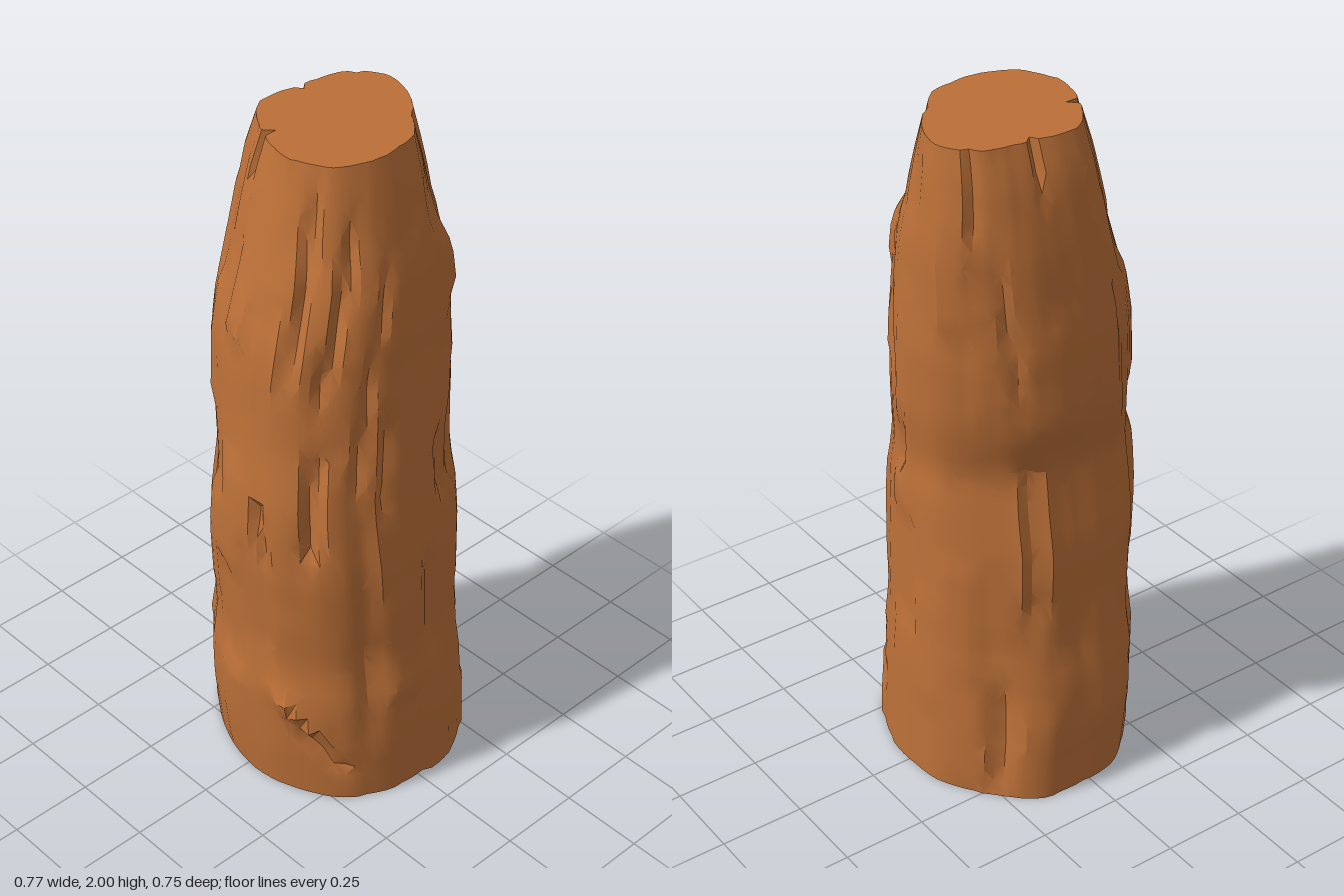
import * as THREE from 'three';
import { toCreasedNormals } from 'three/addons/utils/BufferGeometryUtils.js';

// Silhouette by height: y, xMin, xMax, zBack, zFront
const rows = [
  [0, -0.385, 0.385, -0.37, 0.33], [0.2, -0.39, 0.385, -0.365, 0.352],
  [0.35, -0.375, 0.375, -0.36, 0.36], [0.48, -0.35, 0.35, -0.352, 0.348],
  [0.8, -0.335, 0.352, -0.345, 0.37], [0.92, -0.31, 0.335, -0.342, 0.372],
  [1.03, -0.29, 0.32, -0.33, 0.365], [1.2, -0.333, 0.303, -0.348, 0.337],
  [1.4, -0.335, 0.29, -0.355, 0.325], [1.5, -0.33, 0.295, -0.35, 0.31],
  [1.7, -0.315, 0.27, -0.35, 0.25], [1.8, -0.3, 0.237, -0.338, 0.225],
  [1.9, -0.285, 0.217, -0.33, 0.2], [2, -0.25, 0.19, -0.315, 0.175],
];
// Relative radii every 22.5 degrees, from +x round through +z
const baseRing = [1, 1.03, 1.04, 1.02, 1, 0.96, 0.95, 1, 0.98, 1.03, 1, 1.03, 1, 1.02, 1.03, 1.03];
const topRing = [0.95, 1.08, 1.13, 1.06, 0.94, 0.88, 0.95, 1.02, 0.95, 0.95, 1.1, 1.08, 0.92, 0.8, 0.77, 0.9];

// Cracks and bulges: angle, angular half width, yLow, yHigh, depth (negative bulges), lean
const features = [
  [130, 5, 0.3, 1.22, 0.025, 0], [48, 6, 0.85, 1.22, 0.05, -4], [75, 4, 0.85, 1.05, 0.03, 6],
  [58, 5, 1.35, 1.98, 0.035, -8], [40, 5, 1.3, 1.9, 0.035, -12], [22, 5, 1.0, 1.8, 0.025, -14],
  [25, 5, 0.2, 1.1, 0.025, 0], [60, 10, 0.22, 0.42, -0.03, 20], [50, 8, 0.08, 0.3, 0.025, 25],
  [112, 4, 1.88, 2.1, 0.05, 0], [188, 4, 1.85, 2.1, 0.05, 0], [228, 5, 1.75, 2.1, 0.03, 0],
  [322, 9, 1.5, 1.72, -0.03, 0], [335, 6, 0.9, 1.15, 0.035, 10], [318, 8, 0.9, 1.22, 0.03, 0],
  [300, 6, 1.25, 1.6, 0.025, 12], [310, 7, 0.1, 0.42, 0.035, 10], [350, 6, 0.4, 0.85, 0.02, 0],
  [205, 6, 0.5, 1.15, 0.025, 0], [222, 7, 0.0, 0.4, 0.03, 0], [150, 5, 1.1, 1.6, 0.018, 6],
  [280, 6, 0.95, 1.15, 0.02, 0], [12, 4, 0.95, 1.3, 0.03, 0], [215, 5, 1.3, 1.7, 0.02, 8],
];

const SEG = 80, STEPS = 44;

function hash(i, j) {
  const s = Math.sin(i * 127.1 + j * 311.7) * 43758.5453;
  return s - Math.floor(s);
}

function rowAt(y) {
  let k = 0;
  while (k < rows.length - 2 && rows[k + 1][0] < y) k++;
  const a = rows[k], b = rows[k + 1], t = (y - a[0]) / (b[0] - a[0]);
  return a.map((v, n) => v + (b[n] - v) * t);
}

function ringAt(ring, deg) {
  const f = deg / 22.5, k = Math.floor(f), t = f - k;
  return ring[k % 16] * (1 - t) + ring[(k + 1) % 16] * t;
}

// Sum of all crack depths at one place on the surface
function relief(deg, y) {
  let d = 0;
  for (const [angle, width, low, high, depth, lean] of features) {
    const v = (y - low) / (high - low);
    if (v < 0 || v > 1) continue;
    const off = Math.abs(((deg - angle - lean * (v - 0.5) + 540) % 360) - 180) / width;
    if (off < 1) d += depth * (1 - off) * Math.min(1, 5 * v, 5 * (1 - v));
  }
  return d;
}

function point(i, j) {
  i %= SEG;
  const inner = j > 0 && j < STEPS;
  const y = (2 * j) / STEPS + (inner ? (hash(i >> 1, j) - 0.5) * 0.025 : 0);
  const deg = (i * 360) / SEG, a = (deg * Math.PI) / 180;
  const [, x0, x1, z0, z1] = rowAt(y);
  const t = Math.max(0, (y - 1.1) / 0.9) ** 2;
  const r = ringAt(baseRing, deg) * (1 - t) + ringAt(topRing, deg) * t;
  // broad chipped facets, stretched along the height
  const chip = (hash(i >> 2, (j + (i >> 2) * 3) >> 3) - 0.6) * 0.014;
  const k = r + (chip - relief(deg, y)) / 0.35;
  return [(x0 + x1) / 2 + ((x1 - x0) / 2) * k * Math.cos(a), y,
    (z0 + z1) / 2 + ((z1 - z0) / 2) * k * Math.sin(a)];
}

function fromTriangles(list) {
  const g = new THREE.BufferGeometry();
  g.setAttribute('position', new THREE.Float32BufferAttribute(list.flat(), 3));
  g.computeVertexNormals();
  return g;
}

function cap(j, up) {
  const [y, x0, x1, z0, z1] = rowAt((2 * j) / STEPS);
  const centre = [(x0 + x1) / 2, y, (z0 + z1) / 2], tris = [];
  for (let i = 0; i < SEG; i++) {
    const a = point(i, j), b = point(i + 1, j);
    tris.push(centre, up ? b : a, up ? a : b);
  }
  return fromTriangles(tris);
}

export function createModel() {
  const group = new THREE.Group();
  group.name = 'rockPillar';
  const stone = new THREE.MeshStandardMaterial({ color: 0xbc7038 });
  stone.name = 'orange sandstone';

  const add = (name, geometry) => {
    const mesh = new THREE.Mesh(geometry, stone);
    mesh.name = name;
    group.add(mesh);
  };

  // Weathered side wall
  const wall = [];
  for (let j = 0; j < STEPS; j++) {
    for (let i = 0; i < SEG; i++) {
      const a = point(i, j), b = point(i, j + 1), c = point(i + 1, j + 1), d = point(i + 1, j);
      if ((i + j) % 2) wall.push(a, b, c, a, c, d);
      else wall.push(a, b, d, b, c, d);
    }
  }
  add('rockWall', toCreasedNormals(fromTriangles(wall), 0.5));

  // Flat cut ends
  add('flatTop', cap(STEPS, true));
  add('flatBase', cap(0, false));
  return group;
}
